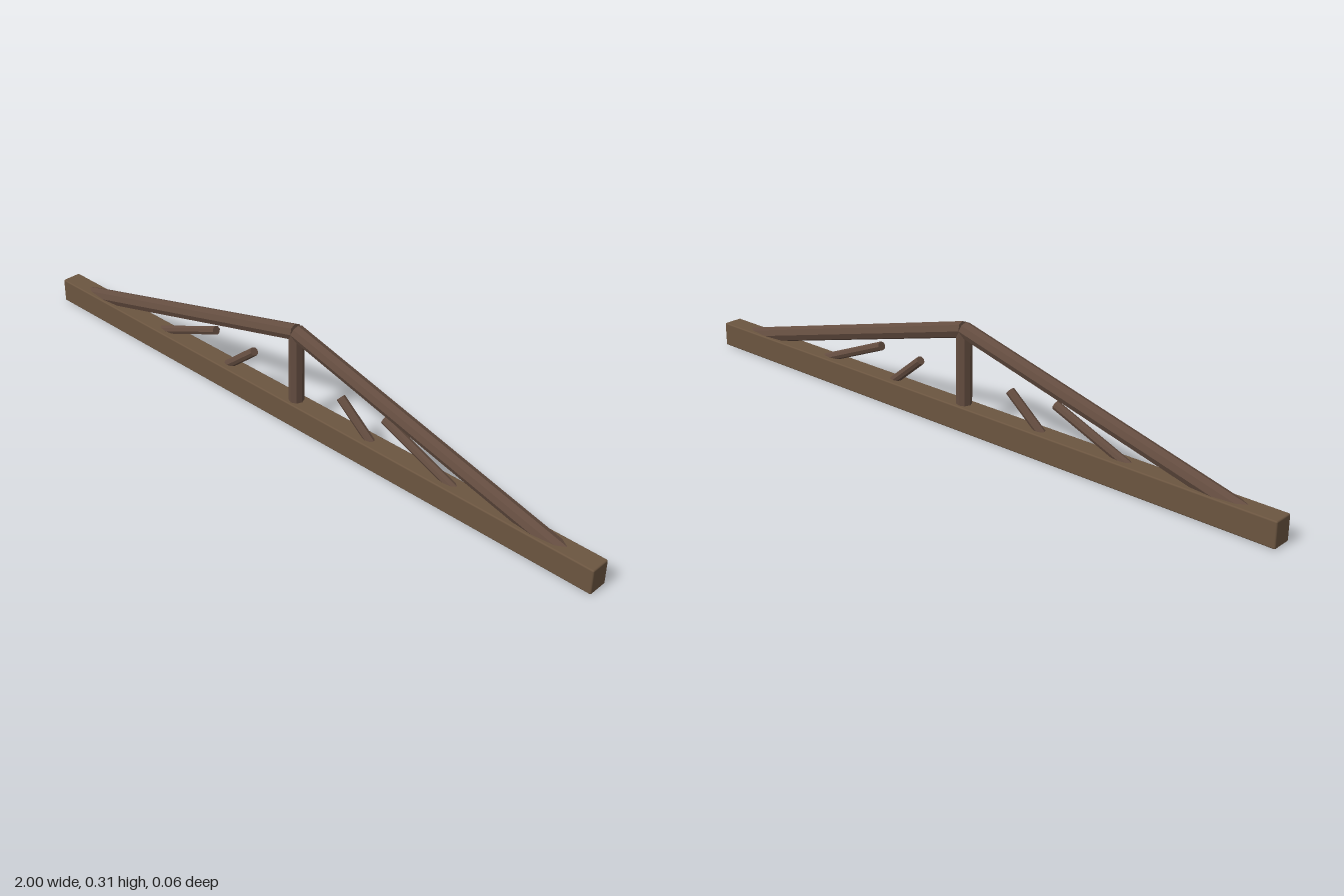
import * as THREE from 'three';
import { RoundedBoxGeometry } from 'three/addons/geometries/RoundedBoxGeometry.js';

const beamWood = new THREE.MeshStandardMaterial({ color: 0x6b5540 });
const poleWood = new THREE.MeshStandardMaterial({ color: 0x644d40, flatShading: true });

// Faceted pole between two points in the truss plane
function pole(name, [x0, y0], [x1, y1], radius, sides) {
  const length = Math.hypot(x1 - x0, y1 - y0);
  const mesh = new THREE.Mesh(new THREE.CylinderGeometry(radius, radius, length, sides), poleWood);
  mesh.name = name;
  mesh.position.set((x0 + x1) / 2, (y0 + y1) / 2, 0);
  mesh.rotation.z = Math.atan2(y1 - y0, x1 - x0) - Math.PI / 2;
  return mesh;
}

export function createModel() {
  const truss = new THREE.Group();
  truss.name = 'roofTruss';

  // Tie beam with softened edges
  const beam = new THREE.Mesh(new RoundedBoxGeometry(2, 0.073, 0.06, 2, 0.004), beamWood);
  beam.name = 'tieBeam';
  beam.position.y = 0.0365;
  truss.add(beam);

  // King post
  truss.add(pole('kingPost', [0, 0.037], [0, 0.289], 0.022, 8));

  // Rafters and short struts, mirrored on both sides
  for (const [side, s] of [['left', 1], ['right', -1]]) {
    truss.add(
      pole(side + 'Rafter', [s * 0.95, 0.037], [0, 0.289], 0.023, 8),
      pole(side + 'OuterStrut', [s * 0.62, 0.037], [s * 0.32, 0.16], 0.013, 8),
      pole(side + 'InnerStrut', [s * 0.31, 0.037], [s * 0.165, 0.156], 0.013, 8),
    );
  }
  return truss;
}
